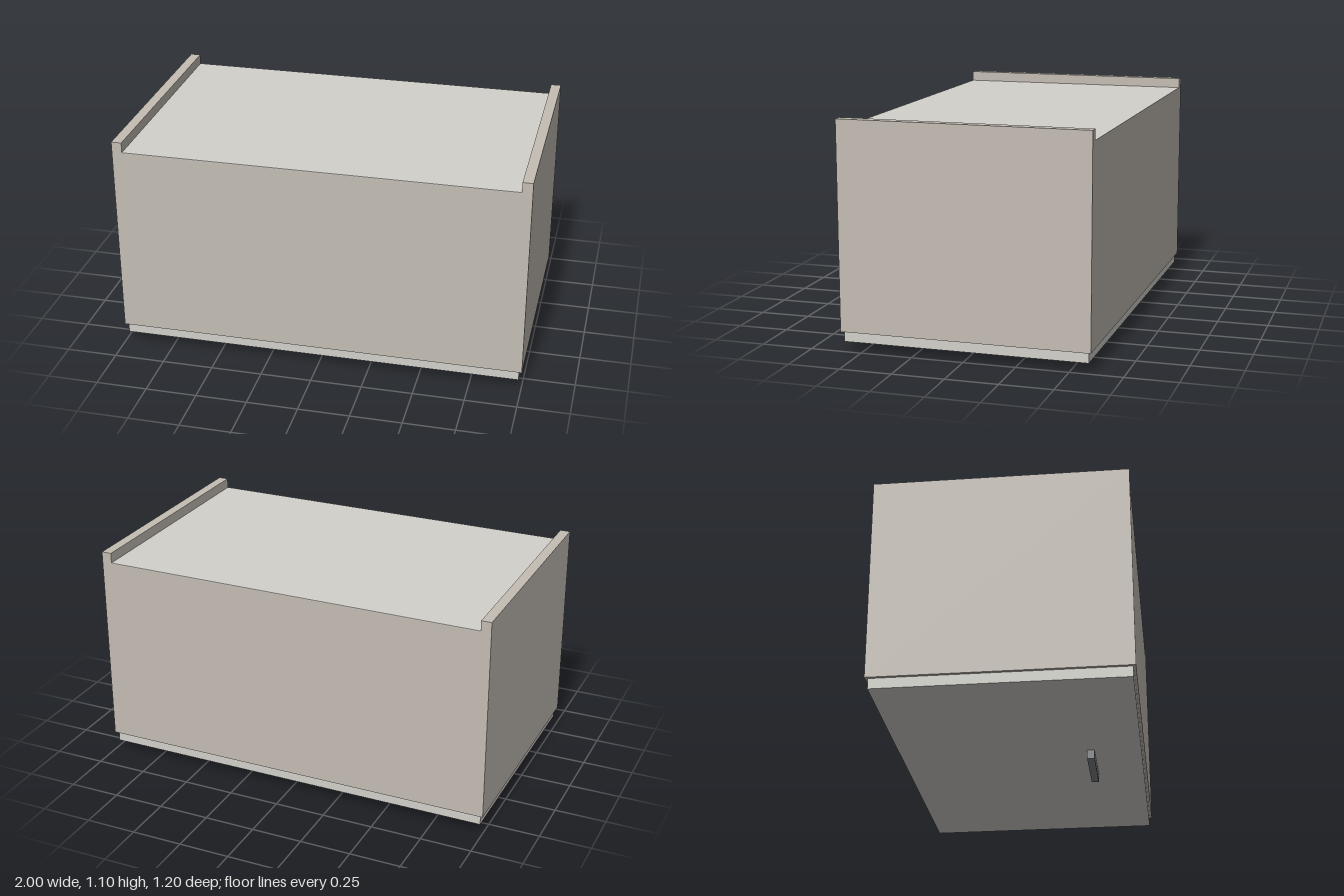
import * as THREE from 'three';

export function createModel() {
  const group = new THREE.Group();
  const carcass = new THREE.MeshStandardMaterial({ color: 0xc4bdb4 });
  const panel = new THREE.MeshStandardMaterial({ color: 0xd2d1cb });
  const metal = new THREE.MeshStandardMaterial({ color: 0x808286 });

  // Box given by its size, its bottom height and its centre in x and z
  function box(name, material, [w, h, d], bottom, x = 0, z = 0) {
    const mesh = new THREE.Mesh(new THREE.BoxGeometry(w, h, d), material);
    mesh.name = name;
    mesh.position.set(x, bottom + h / 2, z);
    group.add(mesh);
  }

  const t = 0.05; // board thickness
  const base = 0.095; // lower rim of the carcass

  // Side boards rise above the recessed top panel
  box('leftSide', carcass, [t, 1, 1.2], base, 1 - t / 2);
  box('rightSide', carcass, [t, 1, 1.2], base, -1 + t / 2);

  // Front and back boards between the sides
  const inner = 2 - 2 * t;
  box('frontBoard', carcass, [inner, 0.946, t], base, 0, 0.6 - t / 2);
  box('backBoard', carcass, [inner, 0.946, t], base, 0, -0.6 + t / 2);

  // Thin panel closing the top
  box('topPanel', panel, [inner, 0.004, 1.2], 1.041);

  // Door closing the underside, slightly smaller than the carcass
  box('door', panel, [1.97, 0.05, 1.174], 0.045);

  // Bar handle under the door
  box('handle', metal, [0.32, 0.045, 0.036], 0, 0, 0.342);

  return group;
}
